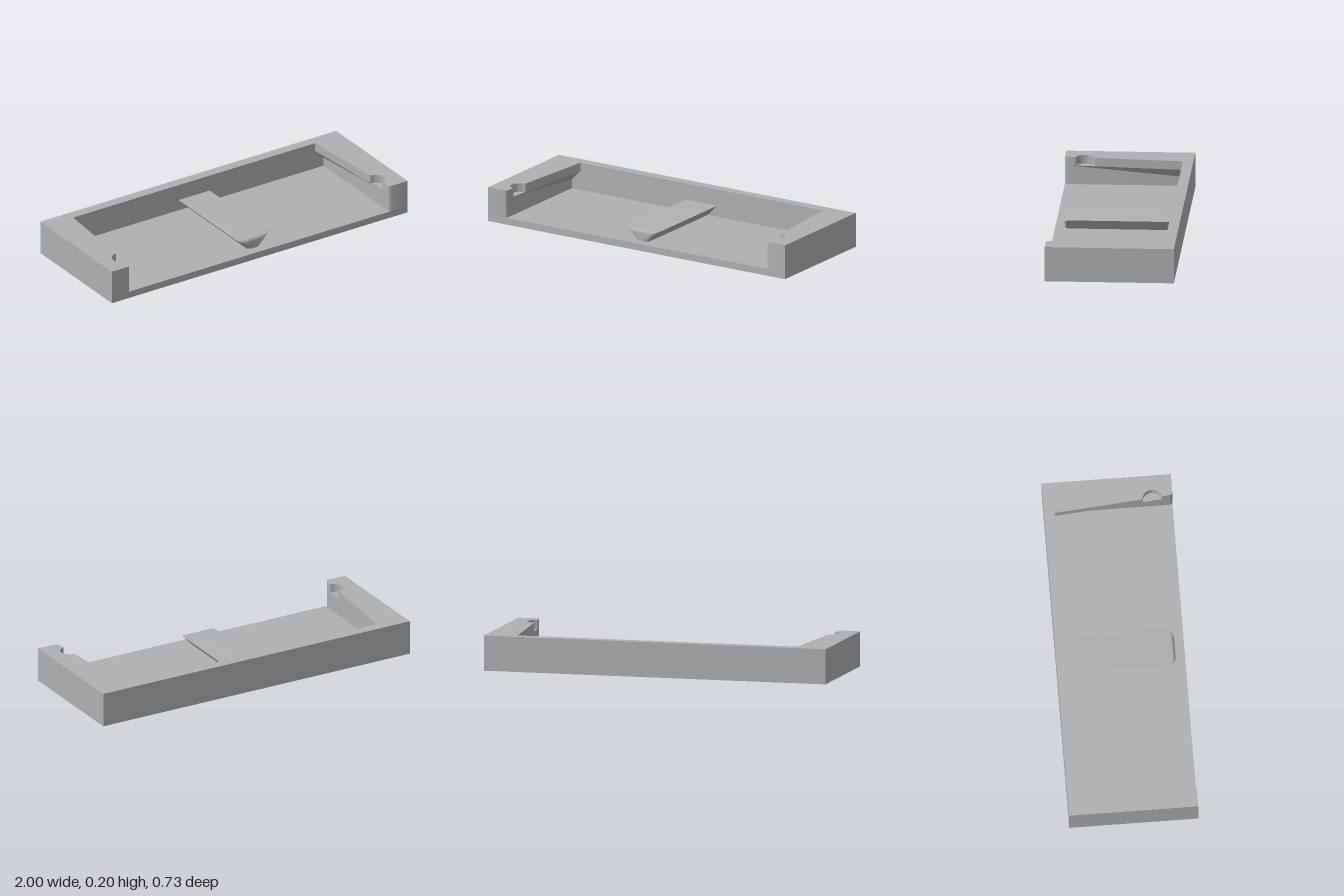
import * as THREE from 'three';
import { toCreasedNormals } from 'three/addons/utils/BufferGeometryUtils.js';
import { ConvexGeometry } from 'three/addons/geometries/ConvexGeometry.js';

const W = 1, D = 0.365, BACK = -0.305;      // half width, half depth, pocket rear
const FLOOR = 0.04, LIP = 0.15, TOP = 0.2;  // heights
const WALL = 0.875, LIP_BACK = 0.818;       // pocket half widths

// Points [x, z] on an elliptical arc, angles in degrees
function arc(cx, cz, rx, rz, from, to, steps) {
  return Array.from({ length: steps + 1 }, (_, i) => {
    const a = THREE.MathUtils.degToRad(from + (to - from) * i / steps);
    return [cx + rx * Math.cos(a), cz + rz * Math.sin(a)];
  });
}

// U-shaped wall open to the front; inner is the +x pocket edge, front to back
function uWall(inner, y0, y1) {
  const mirrored = inner.map(([x, z]) => [-x, z]).reverse();
  const outline = [[-W, D], [-W, -D], [W, -D], [W, D], ...inner, ...mirrored];
  const shape = new THREE.Shape(outline.map(([x, z]) => new THREE.Vector2(x, -z)));
  const geo = new THREE.ExtrudeGeometry(shape, { depth: y1 - y0, bevelEnabled: false });
  geo.rotateX(-Math.PI / 2);
  geo.translate(0, y0, 0);
  return toCreasedNormals(geo, 0.5);
}

export function createModel() {
  const group = new THREE.Group();
  const grey = new THREE.MeshStandardMaterial({ color: 0xb0b0b0 });
  grey.name = 'plain grey';
  const add = (name, geo) => {
    const mesh = new THREE.Mesh(geo, grey);
    mesh.name = name;
    group.add(mesh);
  };

  // Floor slab
  const slab = new THREE.BoxGeometry(2 * W, FLOOR, 2 * D);
  slab.translate(0, FLOOR / 2, 0);
  add('floor', slab);

  // Lower walls are straight; upper walls taper and carry round notches
  const rounded = arc(0.89, D - 0.02, 0.89 - WALL, 0.02, 90, 180, 8);
  add('lowerWalls', uWall([...rounded, [WALL, BACK]], FLOOR, LIP));
  const notch = arc(0.86, 0.25, 0.055, 0.055, 79, -89, 20);
  add('upperWalls', uWall([...rounded, ...notch, [LIP_BACK, BACK]], LIP, TOP));

  // Sloped underside of each overhanging lip, fading out toward the front
  for (const s of [1, -1]) {
    add(s > 0 ? 'leftLipSlope' : 'rightLipSlope', new ConvexGeometry([
      new THREE.Vector3(s * LIP_BACK, LIP, BACK),
      new THREE.Vector3(s * WALL, LIP, BACK),
      new THREE.Vector3(s * WALL, LIP - (WALL - LIP_BACK), BACK),
      new THREE.Vector3(s * WALL, LIP, D - 0.02),
    ]));
  }

  // Dovetail rail: flares upward, with a rounded nose
  const points = [];
  const railTop = 0.105, fillet = 0.02;
  const level = (y, drop) => {
    const half = 0.042 + 0.063 * (y - FLOOR) / (railTop - FLOOR);
    const rz = Math.max(0.025 - drop, 0.002);
    const nose = arc(half - 0.03, 0.31 - drop - rz, 0.03, rz, 0, 90, 8);
    for (const [x, z] of [[half, BACK], ...nose]) {
      points.push(new THREE.Vector3(x, y, z), new THREE.Vector3(-x, y, z));
    }
  };
  level(FLOOR, 0);
  for (let i = 0; i <= 6; i++) {
    const a = i / 6 * Math.PI / 2;
    level(railTop - fillet + fillet * Math.sin(a), fillet * (1 - Math.cos(a)));
  }
  add('centreRail', toCreasedNormals(new ConvexGeometry(points), 0.5));

  return group;
}
